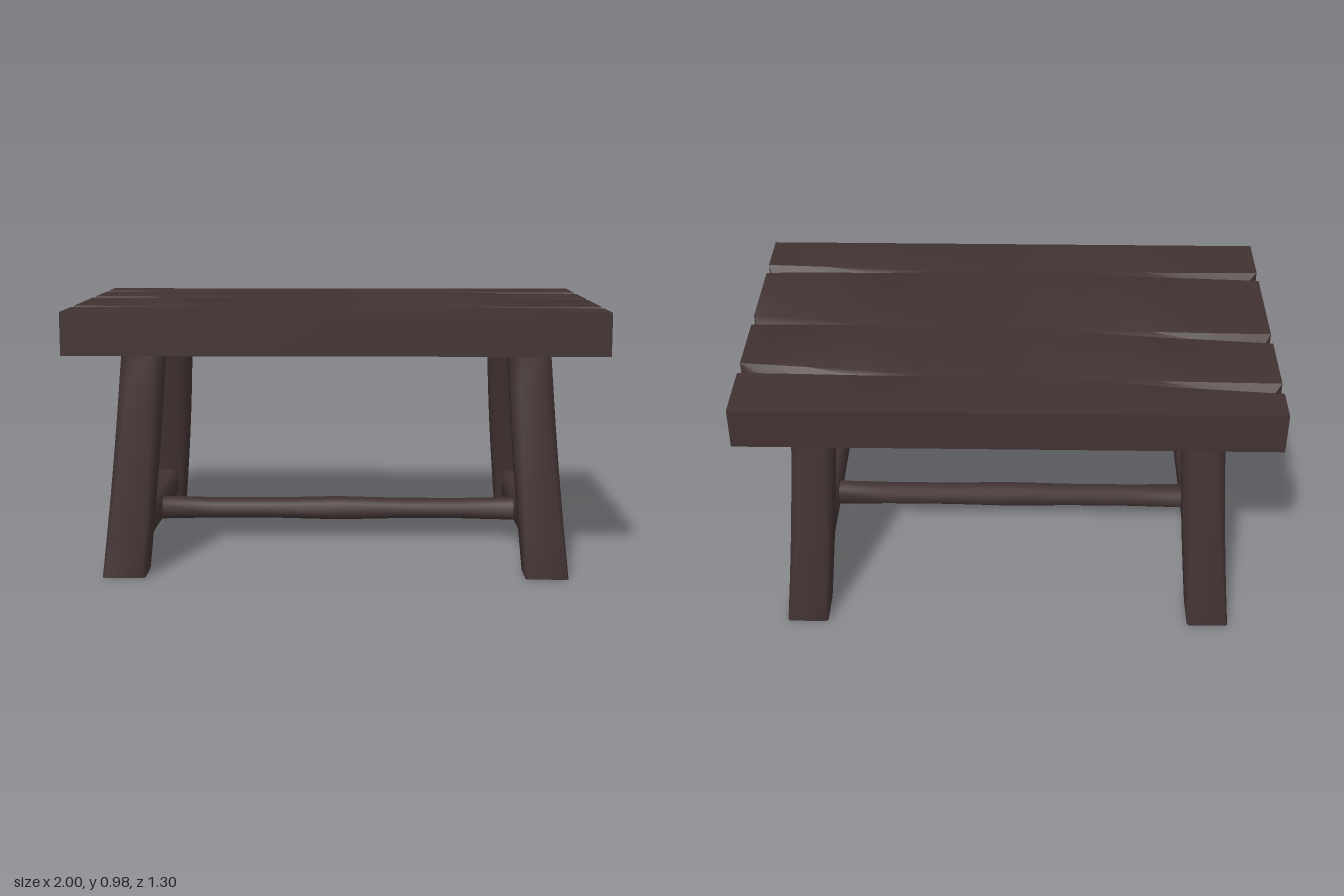
import * as THREE from 'three';
import { toCreasedNormals } from 'three/addons/utils/BufferGeometryUtils.js';

const wood = new THREE.MeshStandardMaterial({ color: 0x423232 });
wood.name = 'dark brown wood';

function addMesh(parent, name, geometry) {
  const mesh = new THREE.Mesh(geometry, wood);
  mesh.name = name;
  parent.add(mesh);
  return mesh;
}

// Hewn beam along y: an eight-sided tube reshaped into a square with chamfered corners.
// rule(t) gives half width, half depth, chamfer and centre offset at t = 0 (bottom) to 1 (top).
function beam(length, rule) {
  const g = new THREE.CylinderGeometry(1, 1, length, 8, 6, false, Math.PI / 8);
  const p = g.attributes.position;
  for (let i = 0; i < p.count; i++) {
    const x = p.getX(i), y = p.getY(i), z = p.getZ(i);
    const { w, d, c, ox = 0, oz = 0 } = rule(y / length + 0.5);
    if (Math.hypot(x, z) < 0.01) {
      p.setXYZ(i, ox, y, oz);
      continue;
    }
    const wide = Math.abs(x) > Math.abs(z);
    p.setXYZ(i, ox + Math.sign(x) * (wide ? w : w - c), y, oz + Math.sign(z) * (wide ? d - c : d));
  }
  return toCreasedNormals(g, 0.9);
}

// Worn plank top: a slab lofted along x, with seams that open into grooves and notches at the ends.
function plankTop() {
  const bottom = 0.82, top = 0.98;
  // z at left and right end, notch into the end, groove depth at the end
  const seams = [
    { z: [-0.43, -0.33], notch: [0.035, 0.045], depth: [0.035, 0.05] },
    { z: [-0.10, 0.00], notch: [0.035, 0.012], depth: [0.05, 0.02] },
    { z: [0.36, 0.39], notch: [0.04, 0.015], depth: [0.035, 0.04] },
  ];
  const xs = [-1, -0.9, -0.75, -0.55, -0.3, 0, 0.3, 0.55, 0.75, 0.9, 1];

  const rows = xs.map((x) => {
    const end = x < 0 ? 0 : 1;
    const open = Math.pow(Math.max(0, (Math.abs(x) - 0.2) / 0.8), 1.5);
    const row = [{ x, z: -0.6, y: top }];
    for (const s of seams) {
      const z = THREE.MathUtils.lerp(s.z[0], s.z[1], (x + 1) / 2);
      const half = 0.012 + 0.02 * open;
      const inset = Math.abs(x) === 1 ? s.notch[end] * Math.sign(x) : 0;
      row.push({ x, z: z - half, y: top });
      row.push({ x: x - inset, z, y: top - s.depth[end] * open });
      row.push({ x, z: z + half, y: top });
    }
    row.push({ x, z: 0.61, y: top });
    return row;
  });

  const pos = [];
  const up = (i, j) => [rows[i][j].x, rows[i][j].y, rows[i][j].z];
  const low = (i, j) => [rows[i][j].x, bottom, rows[i][j].z];
  const quad = (a, b, c, d) => pos.push(...a, ...b, ...c, ...a, ...c, ...d);
  const n = rows.length - 1, m = rows[0].length - 1;

  for (let i = 0; i < n; i++) {
    for (let j = 0; j < m; j++) {
      quad(up(i, j), up(i, j + 1), up(i + 1, j + 1), up(i + 1, j));
      quad(low(i, j), low(i + 1, j), low(i + 1, j + 1), low(i, j + 1));
    }
    // long edges
    quad(low(i, m), low(i + 1, m), up(i + 1, m), up(i, m));
    quad(low(i + 1, 0), low(i, 0), up(i, 0), up(i + 1, 0));
  }
  // notched ends
  for (let j = 0; j < m; j++) {
    quad(low(0, j), low(0, j + 1), up(0, j + 1), up(0, j));
    quad(low(n, j + 1), low(n, j), up(n, j), up(n, j + 1));
  }

  const g = new THREE.BufferGeometry();
  g.setAttribute('position', new THREE.Float32BufferAttribute(pos, 3));
  return toCreasedNormals(g, 0.7);
}

export function createModel() {
  const table = new THREE.Group();
  table.name = 'rusticTable';

  addMesh(table, 'plankTop', plankTop());

  // Splayed legs
  const legHeight = 0.83;
  for (const sx of [-1, 1]) {
    for (const sz of [-1, 1]) {
      const leg = addMesh(table, 'leg', beam(legHeight, (t) => ({
        w: 0.079,
        d: 0.075,
        c: 0.008 + 0.032 * t,
        ox: sx * (0.781 - 0.061 * t - 0.006 * Math.sin(Math.PI * t)),
        oz: sz * (0.575 - 0.14 * t + 0.008 * Math.sin(Math.PI * t)),
      })));
      leg.position.y = legHeight / 2;
    }
  }

  // Side stretchers between front and back legs
  for (const sx of [-1, 1]) {
    const side = addMesh(table, 'sideStretcher', beam(1.06, (t) => ({
      w: 0.052,
      d: 0.058 + 0.004 * Math.cos(4 * Math.PI * t),
      c: 0.02,
    })));
    side.rotation.x = Math.PI / 2;
    side.position.set(sx * 0.77, 0.125, 0);
  }

  // Long stretcher joining the two sides
  const long = addMesh(table, 'longStretcher', beam(1.52, (t) => ({
    w: 0.039 + 0.004 * Math.cos(4 * Math.PI * t),
    d: 0.042,
    c: 0.016,
  })));
  long.rotation.z = Math.PI / 2;
  long.position.set(0, 0.122, 0);

  return table;
}
